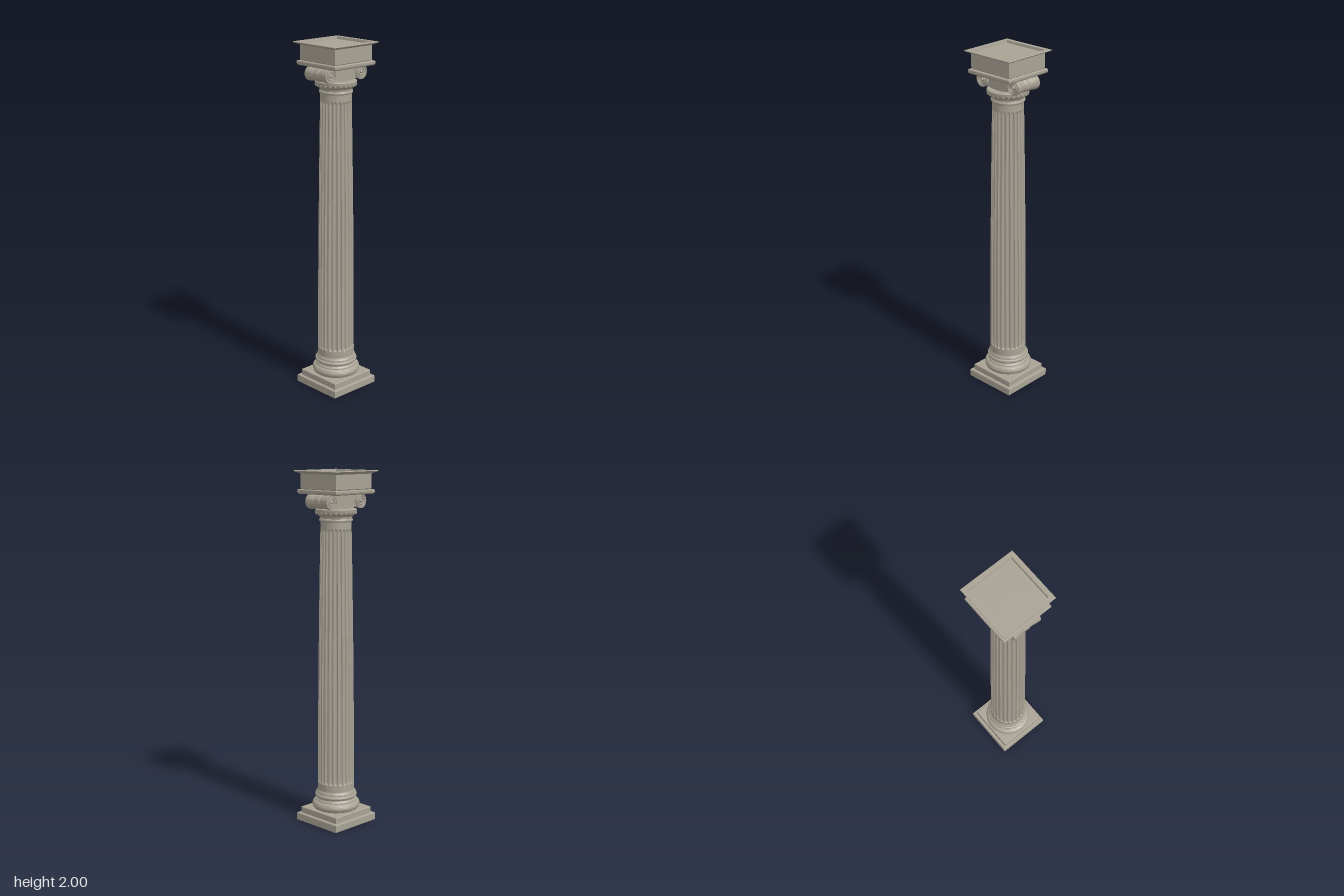
import * as THREE from 'three';
import { toCreasedNormals } from 'three/addons/utils/BufferGeometryUtils.js';

const stone = new THREE.MeshStandardMaterial({ color: 0xa8a294 });

function add(parent, name, geometry, x = 0, y = 0, z = 0) {
  const mesh = new THREE.Mesh(geometry, stone);
  mesh.name = name;
  mesh.position.set(x, y, z);
  parent.add(mesh);
  return mesh;
}

const vectors = (points) => points.map(([r, y]) => new THREE.Vector2(r, y));

// Round moulding from [radius, height] pairs, listed bottom to top
const turned = (points, segments = 64) =>
  toCreasedNormals(new THREE.LatheGeometry(vectors(points), segments), 0.6);

// Square moulding from [half width, height] pairs
function squared(points) {
  const corners = points.map(([h, y]) => [h * Math.SQRT2, y]);
  return toCreasedNormals(new THREE.LatheGeometry(vectors(corners), 4, Math.PI / 4), 0.2);
}

// Half-round bulge between two heights, as profile points
function bulge(y0, y1, r, out, steps = 10) {
  return Array.from({ length: steps + 1 }, (_, i) => {
    const a = (i / steps - 0.5) * Math.PI;
    return [r + out * Math.cos(a), (y0 + y1) / 2 + ((y1 - y0) / 2) * Math.sin(a)];
  });
}

// Shaft with a gentle swelling and 24 round-ended flutes
function flutedShaft() {
  const bottom = 0.19, top = 1.71, flutes = 24, perFlute = 10;
  const low = 0.235, high = 1.685, cap = 0.016, depth = 0.009;
  const heights = [bottom];
  for (let i = 0; i <= 6; i++) heights.push(low + cap * (1 - Math.cos((i / 6) * Math.PI / 2)));
  for (let i = 1; i < 16; i++) heights.push(low + cap + (i / 16) * (high - low - 2 * cap));
  for (let i = 0; i <= 6; i++) heights.push(high - cap * (1 - Math.sin((i / 6) * Math.PI / 2)));
  heights.push(high, top);
  heights.sort((a, b) => a - b);

  const geometry = new THREE.LatheGeometry(
    heights.map((y) => new THREE.Vector2(0.104 - 0.018 * Math.pow((y - bottom) / (top - bottom), 1.7), y)),
    flutes * perFlute);
  const p = geometry.attributes.position;
  for (let i = 0; i < p.count; i++) {
    const x = p.getX(i), y = p.getY(i), z = p.getZ(i);
    const turn = (Math.atan2(x, z) / (2 * Math.PI)) * flutes;
    const u = (turn - Math.round(turn)) / 0.4;
    const t = Math.max(low + cap - y, y - high + cap, 0) / cap;
    const r = Math.hypot(x, z);
    const k = (r - depth * Math.sqrt(Math.max(0, 1 - u * u - t * t))) / r;
    p.setXYZ(i, x * k, y, z * k);
  }
  return toCreasedNormals(geometry, 0.6);
}

// Spiral path on the face of a scroll
function spiral(side) {
  const points = [];
  for (let i = 0; i <= 50; i++) {
    const t = i / 50, a = Math.PI / 2 - side * t * Math.PI * 4.5;
    const r = 0.037 - 0.026 * t;
    points.push(new THREE.Vector3(r * Math.cos(a), r * Math.sin(a), 0));
  }
  return new THREE.TubeGeometry(new THREE.CatmullRomCurve3(points), 100, 0.0038, 6);
}

function base() {
  const group = new THREE.Group();
  group.name = 'base';
  add(group, 'plinth', squared([[0, 0], [0.157, 0], [0.16, 0.004], [0.16, 0.041], [0.157, 0.045], [0, 0.045]]));
  add(group, 'plinthStep', squared([[0.142, 0.044], [0.142, 0.077], [0.139, 0.08], [0, 0.08]]));
  add(group, 'baseMouldings', turned([
    [0, 0.079],
    ...bulge(0.08, 0.13, 0.115, 0.021),
    [0.118, 0.131], [0.118, 0.136], [0.112, 0.14], [0.109, 0.146], [0.11, 0.15],
    ...bulge(0.151, 0.173, 0.109, 0.011),
    [0.112, 0.174], [0.112, 0.182], [0.107, 0.188], [0.104, 0.196], [0.09, 0.196],
  ]));
  return group;
}

function capital() {
  const group = new THREE.Group();
  group.name = 'capital';
  add(group, 'neckMouldings', turned([
    [0.08, 1.705],
    [0.086, 1.71], [0.086, 1.722],
    ...bulge(1.723, 1.741, 0.086, 0.007),
    [0.088, 1.742], [0.09, 1.752], [0.098, 1.758],
    [0.106, 1.764], [0.112, 1.772], [0.115, 1.782], [0.115, 1.79], [0.11, 1.794], [0, 1.794],
  ]));

  // Ring of carved eggs
  for (let i = 0; i < 24; i++) {
    const a = (i / 24) * Math.PI * 2;
    const egg = add(group, 'carvedEgg', new THREE.SphereGeometry(0.0075, 10, 8),
      0.108 * Math.sin(a), 1.772, 0.108 * Math.cos(a));
    egg.scale.y = 1.3;
  }

  // Cushion whose lower edge sags between the scrolls
  const shape = new THREE.Shape();
  shape.moveTo(-0.115, 1.876);
  shape.lineTo(-0.115, 1.815);
  shape.quadraticCurveTo(0, 1.775, 0.115, 1.815);
  shape.lineTo(0.115, 1.876);
  const cushion = new THREE.ExtrudeGeometry(shape, { depth: 0.15, bevelEnabled: false, curveSegments: 16 });
  add(group, 'cushion', cushion, 0, 0, -0.075);
  for (const z of [-0.075, 0.075]) {
    add(group, 'cushionFillet', new THREE.BoxGeometry(0.23, 0.008, 0.012), 0, 1.87, z);
  }

  // Scroll rolls, waisted toward a central band
  const roll = turned([
    [0, -0.078], [0.036, -0.078], [0.036, -0.083], [0.04, -0.083], [0.041, -0.074],
    [0.038, -0.05], [0.035, -0.024], ...bulge(-0.021, 0.021, 0.034, 0.004, 8),
    [0.035, 0.024], [0.038, 0.05], [0.041, 0.074],
    [0.04, 0.083], [0.036, 0.083], [0.036, 0.078], [0, 0.078],
  ], 40);
  for (const side of [-1, 1]) {
    add(group, 'scrollRoll', roll, side * 0.113, 1.834, 0).rotation.x = Math.PI / 2;
    for (const z of [-0.079, 0.079]) {
      add(group, 'scrollSpiral', spiral(side), side * 0.113, 1.834, z);
      add(group, 'scrollEye', new THREE.SphereGeometry(0.009, 16, 10), side * 0.113, 1.834, z);
    }
  }
  add(group, 'abacus', squared([
    [0, 1.873], [0.142, 1.873], [0.148, 1.878], [0.15, 1.884], [0.15, 1.894], [0.147, 1.898], [0, 1.898],
  ]));
  return group;
}

export function createModel() {
  const column = new THREE.Group();
  column.name = 'column';
  column.add(base());
  add(column, 'flutedShaft', flutedShaft());
  column.add(capital());

  // Top block with a flared lip and a sunken panel
  add(column, 'topBlock', squared([
    [0.13, 1.897], [0.137, 1.902], [0.137, 1.982], [0.142, 1.986], [0.158, 1.992],
    [0.163, 1.997], [0.161, 2], [0.137, 2], [0.134, 1.986], [0, 1.986],
  ]));
  return column;
}
